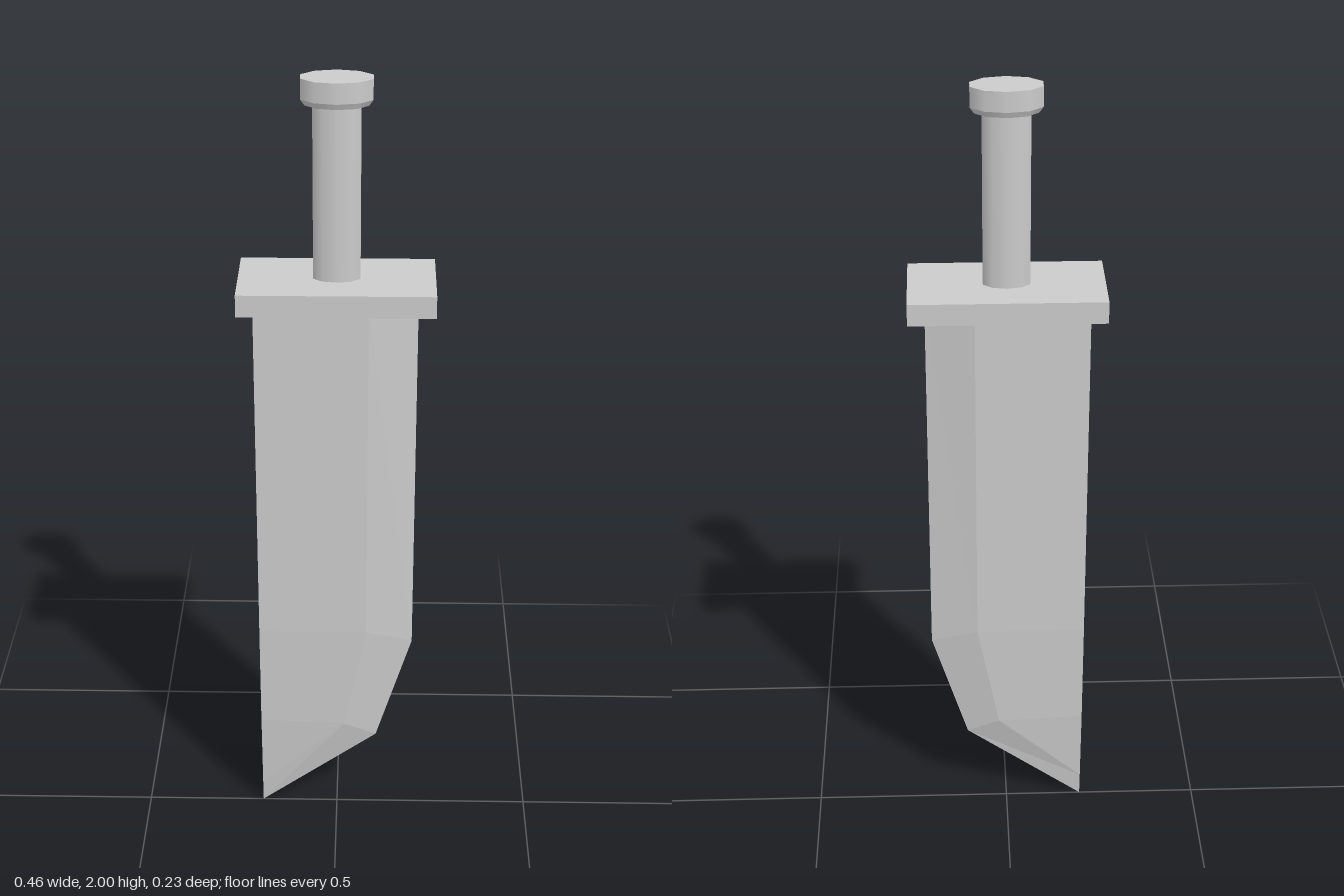
import * as THREE from 'three';

const material = new THREE.MeshStandardMaterial({ color: 0xcccccc });
const flatMaterial = new THREE.MeshStandardMaterial({ color: 0xcccccc, flatShading: true });

// Ten-sided oval cylinder between two heights
function oval(name, topR, bottomR, depthRatio, y0, y1) {
  const geometry = new THREE.CylinderGeometry(topR, bottomR, y1 - y0, 10);
  geometry.scale(1, 1, depthRatio);
  geometry.translate(0, (y0 + y1) / 2, 0);
  const mesh = new THREE.Mesh(geometry, material);
  mesh.name = name;
  return mesh;
}

// Single-edged blade: flat spine, flat sides and a bevel to the cutting edge
function bladeGeometry() {
  const spineX = -0.197;
  // half thickness, spine y, ridge x, ridge y, edge x, edge y
  const sections = [
    [0.036, 1.47, 0.075, 1.47, 0.192, 1.47],
    [0.032, 0.56, 0.075, 0.56, 0.192, 0.515],
    [0.024, 0.28, 0.02, 0.27, 0.102, 0.222],
    [0.007, 0.07, spineX, 0.07, spineX, 0.004],
  ];
  const positions = [];
  for (const [t, sy, rx, ry, ex, ey] of sections) {
    positions.push(spineX, sy, t, rx, ry, t, ex, ey, 0, rx, ry, -t, spineX, sy, -t);
  }
  const index = [];
  const n = 5;
  for (let r = 0; r < sections.length - 1; r++) {
    for (let i = 0; i < n; i++) {
      const a = r * n + i, b = r * n + (i + 1) % n;
      index.push(a, a + n, b + n, a, b + n, b);
    }
  }
  // top cap and the small end of the spine at the tip
  for (let i = 1; i < n - 1; i++) index.push(0, i, i + 1);
  const last = (sections.length - 1) * n;
  index.push(last, last + 4, last + 2);

  const geometry = new THREE.BufferGeometry();
  geometry.setAttribute('position', new THREE.Float32BufferAttribute(positions, 3));
  geometry.setIndex(index);
  const faceted = geometry.toNonIndexed();
  faceted.computeVertexNormals();
  return faceted;
}

export function createModel() {
  const group = new THREE.Group();
  group.name = 'shortSword';

  const blade = new THREE.Mesh(bladeGeometry(), flatMaterial);
  blade.name = 'blade';

  const guard = new THREE.Mesh(new THREE.BoxGeometry(0.462, 0.054, 0.23), flatMaterial);
  guard.name = 'guard';
  guard.position.y = 1.494;

  // Pommel has a small chamfer under its rim
  const pommel = new THREE.Group();
  pommel.name = 'pommel';
  pommel.add(
    oval('pommelRim', 0.086, 0.086, 0.616, 1.952, 2),
    oval('pommelChamfer', 0.086, 0.076, 0.616, 1.938, 1.952),
  );

  group.add(blade, guard, oval('grip', 0.058, 0.058, 0.6, 1.515, 1.945), pommel);
  return group;
}
